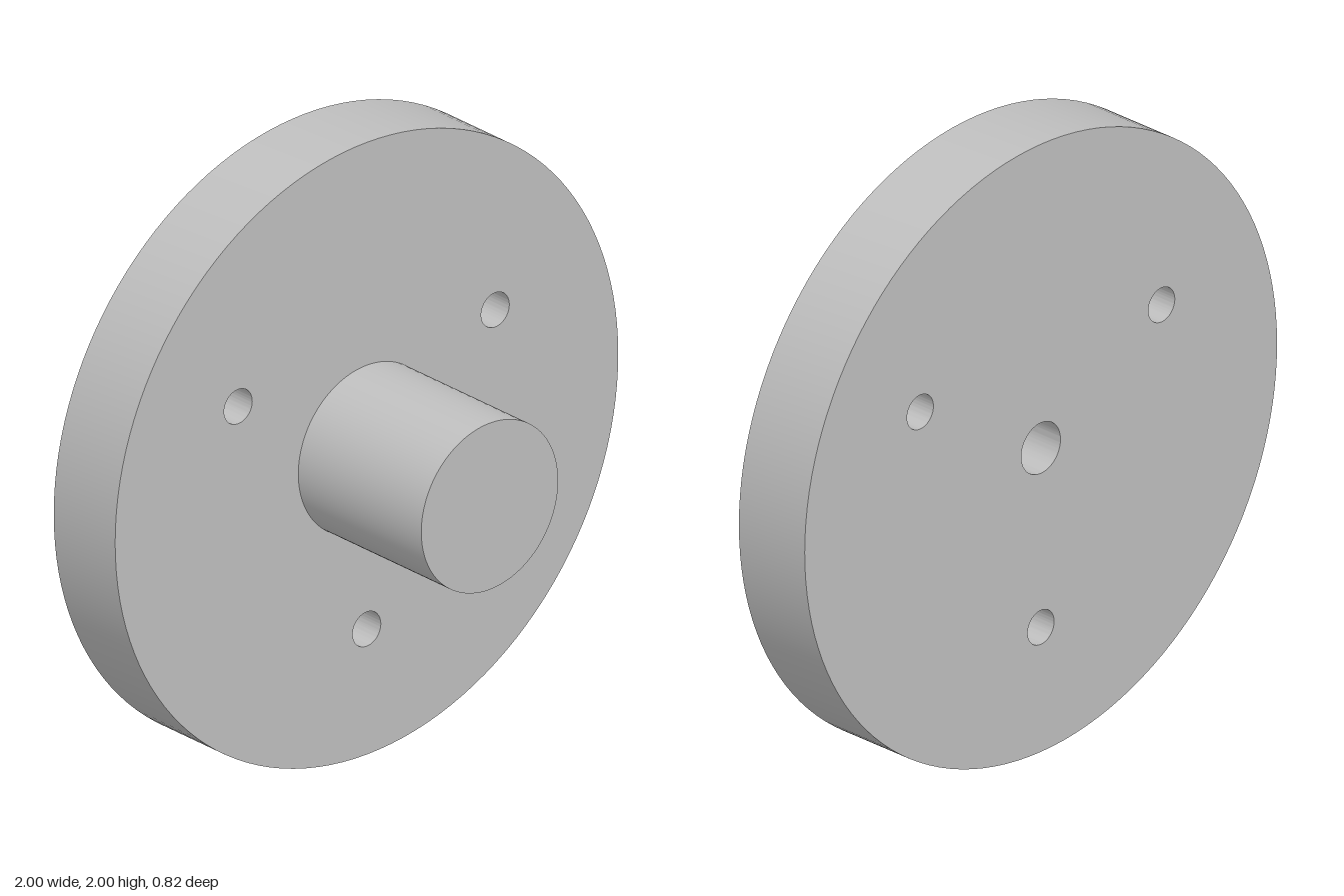
import * as THREE from 'three';
import { toCreasedNormals } from 'three/addons/utils/BufferGeometryUtils.js';

const BACK = -0.41, FACE = -0.137, FRONT = 0.41;
const BORE = 0.083, CREASE = 0.6;

export function createModel() {
  const group = new THREE.Group();
  group.name = 'flangedHub';
  const metal = new THREE.MeshStandardMaterial({ color: 0xbfbfbf });
  metal.name = 'light grey metal';

  const add = (name, geometry) => {
    const mesh = new THREE.Mesh(toCreasedNormals(geometry, CREASE), metal);
    mesh.name = name;
    mesh.position.y = 1;
    group.add(mesh);
  };

  // Surface of revolution about the z axis from [radius, z] points
  const turned = (points) =>
    new THREE.LatheGeometry(points.map(([r, z]) => new THREE.Vector2(r, z)), 96).rotateX(Math.PI / 2);

  // Disc with three bolt holes and a central bore
  const disc = new THREE.Shape().absarc(0, 0, 1, 0, Math.PI * 2);
  const drill = (x, y, r) => disc.holes.push(new THREE.Path().absarc(x, y, r, 0, Math.PI * 2, true));
  for (let i = 0; i < 3; i++) {
    const a = Math.PI / 6 + (i * Math.PI * 2) / 3;
    drill(0.59 * Math.cos(a), 0.59 * Math.sin(a), 0.056);
  }
  drill(0, 0, BORE);
  const plate = new THREE.ExtrudeGeometry(disc, { depth: FACE - BACK, bevelEnabled: false, curveSegments: 64 });
  add('flangeDisc', plate.translate(0, 0, BACK));

  // Solid-fronted boss
  add('boss', turned([[0.272, FACE], [0.272, FRONT], [0, FRONT]]));

  // Blind bore carried on from the disc into the boss
  add('blindBore', turned([[0, 0.14], [BORE, 0.14], [BORE, FACE]]));

  return group;
}
